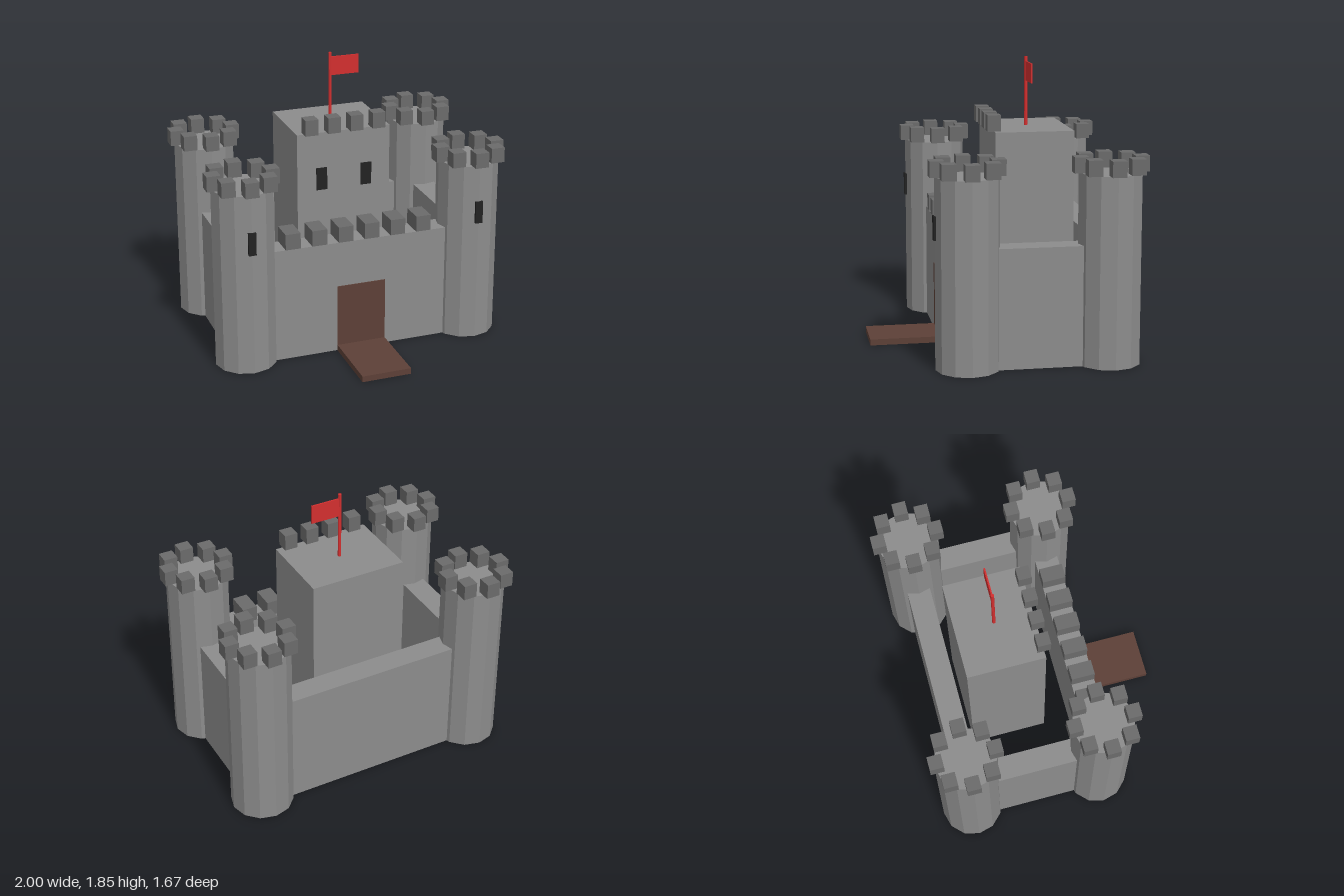
import * as THREE from 'three';

const paint = (color) => new THREE.MeshStandardMaterial({ color, flatShading: true });

export function createModel() {
  const castle = new THREE.Group();
  castle.name = 'castle';
  const stone = paint(0x8c8c8c);
  const darkStone = paint(0x6b6b6b);
  const wood = paint(0x5d4037);
  const dark = paint(0x222222);
  const red = paint(0xd32f2f);

  // Box centred on x and z, standing on height y
  const box = (name, mat, [w, h, d], [x, y, z], parent = castle) => {
    const mesh = new THREE.Mesh(new THREE.BoxGeometry(w, h, d), mat);
    mesh.name = name;
    mesh.position.set(x, y + h / 2, z);
    parent.add(mesh);
    return mesh;
  };

  const towerX = 0.765, frontZ = 0.287, backZ = -0.605, towerR = 0.202, towerH = 1.21;
  const midZ = (frontZ + backZ) / 2;

  // Corner towers with a ring of eight merlons
  for (const side of [-1, 1]) {
    for (const z of [frontZ, backZ]) {
      const tower = new THREE.Group();
      tower.name = (z > 0 ? 'front' : 'back') + (side > 0 ? 'Left' : 'Right') + 'Tower';
      tower.position.set(side * towerX, 0, z);
      castle.add(tower);

      const shaft = new THREE.Mesh(new THREE.CylinderGeometry(towerR, towerR, towerH, 12), stone);
      shaft.name = 'towerShaft';
      shaft.position.y = towerH / 2;
      tower.add(shaft);

      for (let i = 0; i < 8; i++) {
        const a = (i * Math.PI) / 4;
        box('towerMerlon', darkStone, [0.09, 0.1, 0.09],
          [Math.sin(a) * 0.19, towerH, Math.cos(a) * 0.19], tower);
      }
      if (z > 0) box('towerWindow', dark, [0.05, 0.15, 0.02], [0, 0.82, 0.201], tower);
    }
  }

  // Curtain walls between the towers
  const wallH = 0.765, wallT = 0.155;
  box('frontWall', stone, [1.4, wallH, wallT], [0, 0, frontZ + 0.003]);
  box('backWall', stone, [1.4, wallH, wallT], [0, 0, backZ]);
  for (const side of [-1, 1]) {
    box('sideWall', stone, [wallT, wallH, 0.76], [side * towerX, 0, midZ]);
  }

  // Merlons on the front wall
  for (let i = 0; i < 6; i++) {
    box('wallMerlon', darkStone, [0.1, 0.105, 0.157], [-0.46 + i * 0.178, wallH, frontZ + 0.003]);
  }

  // Central keep, with merlons and windows at the front
  const keepFront = 0.035, keepH = 1.4;
  box('keep', stone, [0.636, keepH, 0.51], [0, 0, keepFront - 0.255]);
  for (let i = 0; i < 4; i++) {
    box('keepMerlon', darkStone, [0.086, 0.105, 0.086], [-0.23 + i * 0.153, keepH, keepFront]);
  }
  for (const side of [-1, 1]) {
    box('keepWindow', dark, [0.072, 0.15, 0.02], [side * 0.153, 1.01, keepFront]);
  }

  // Gate and lowered drawbridge
  box('gate', wood, [0.33, 0.46, 0.02], [0, 0, 0.363]);
  box('drawbridge', wood, [0.33, 0.04, 0.467], [0, 0, 0.601]);

  // Flagpole and flag on the keep roof
  const pole = new THREE.Mesh(new THREE.CylinderGeometry(0.011, 0.011, 0.45, 8), red);
  pole.name = 'flagpole';
  pole.position.set(-0.002, keepH + 0.225, -0.22);
  castle.add(pole);
  box('flag', red, [0.195, 0.125, 0.01], [0.098, 1.695, -0.22]);

  return castle;
}
